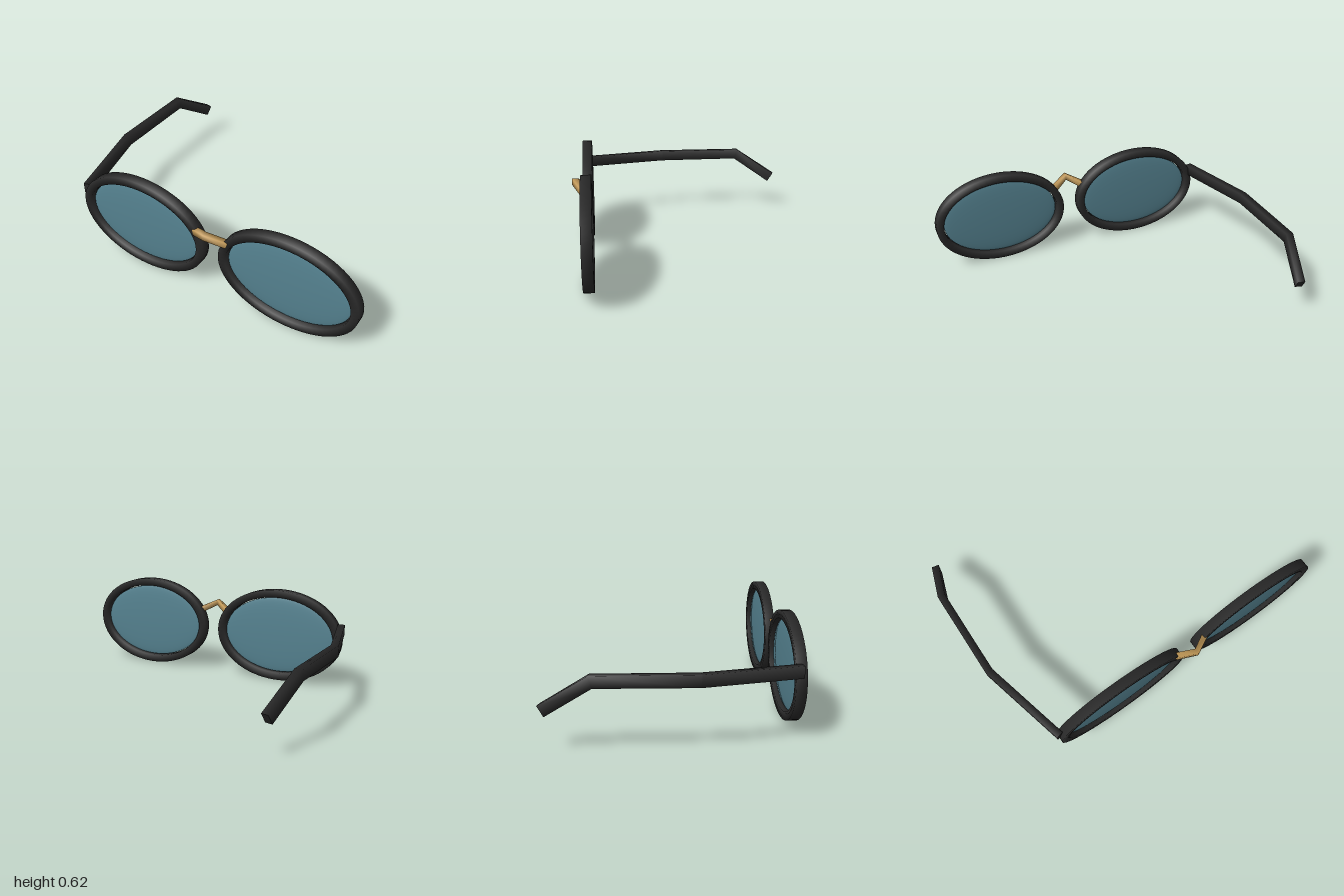
import * as THREE from 'three';

const V = (x, y, z) => new THREE.Vector3(x, y, z);

// Sweeps a w x h rectangular bar along a list of points, with smooth shaded sides.
function sweep(points, w, h, up, closed = false) {
  const n = points.length, pos = [], idx = [];
  points.forEach((p, i) => {
    const prev = closed ? points[(i + n - 1) % n] : points[Math.max(i - 1, 0)];
    const next = closed ? points[(i + 1) % n] : points[Math.min(i + 1, n - 1)];
    const a = p.clone().sub(prev).normalize(), b = next.clone().sub(p).normalize();
    const t = a.add(b).normalize();
    const s = up.clone().cross(t).normalize(), u = t.clone().cross(s);
    for (const [cs, cu] of [[1, 1], [-1, 1], [-1, -1], [1, -1]]) {
      pos.push(...p.clone().addScaledVector(s, cs * w / 2).addScaledVector(u, cu * h / 2).toArray());
    }
  });
  for (let i = 0; i < (closed ? n : n - 1); i++) {
    for (let j = 0; j < 4; j++) {
      const k = ((i + 1) % n) * 4, m = (j + 1) % 4;
      idx.push(i * 4 + j, i * 4 + m, k + m, i * 4 + j, k + m, k + j);
    }
  }
  if (!closed) {
    // end caps use their own corners so the cut stays crisp
    const e = (n - 1) * 4, c = n * 4;
    pos.push(...pos.slice(0, 12), ...pos.slice(e * 3, e * 3 + 12));
    idx.push(c, c + 2, c + 1, c, c + 3, c + 2, c + 4, c + 5, c + 6, c + 4, c + 6, c + 7);
  }
  const g = new THREE.BufferGeometry();
  g.setAttribute('position', new THREE.Float32BufferAttribute(pos, 3));
  g.setIndex(idx);
  g.computeVertexNormals();
  return g;
}

export function createModel() {
  const frame = new THREE.MeshStandardMaterial({ color: 0x2b2b2b });
  frame.name = 'black frame';
  const glass = new THREE.MeshStandardMaterial({ color: 0x558290 });
  glass.name = 'teal glass';
  const brass = new THREE.MeshStandardMaterial({ color: 0xc39a58 });
  brass.name = 'brass';

  const group = new THREE.Group();
  group.name = 'glasses';
  const add = (name, geometry, material) => {
    const mesh = new THREE.Mesh(geometry, material);
    mesh.name = name;
    group.add(mesh);
    return mesh;
  };

  // oval rims and their slightly domed lenses
  const oval = [];
  for (let i = 0; i < 64; i++) {
    const a = i / 64 * Math.PI * 2;
    oval.push(V(0.4125 * Math.cos(a), 0.283 * Math.sin(a), 0));
  }
  const rimGeometry = sweep(oval, 0.049, 0.06, V(0, 0, 1), true);
  const lensGeometry = new THREE.SphereGeometry(1, 64, 32).rotateX(Math.PI / 2).scale(0.384, 0.254, 0.018);
  for (const [side, x] of [['right', -0.413], ['left', 0.563]]) {
    add(side + 'Rim', rimGeometry, frame).position.set(x, 0.308, 0.64);
    add(side + 'Lens', lensGeometry, glass).position.set(x, 0.308, 0.64);
  }

  // peaked nose bridge
  add('bridge', sweep([V(-0.03, 0.422, 0.657), V(0.075, 0.475, 0.714), V(0.18, 0.422, 0.657)],
    0.036, 0.038, V(0, 1, 0)), brass);

  // the single temple arm, bowed outward and hooked down at the ear
  add('rightTemple', sweep([
    V(-0.842, 0.391, 0.645), V(-0.976, 0.391, 0.1), V(-0.968, 0.391, -0.455), V(-0.903, 0.22, -0.712),
  ], 0.045, 0.068, V(0, 1, 0)), frame);

  return group;
}
